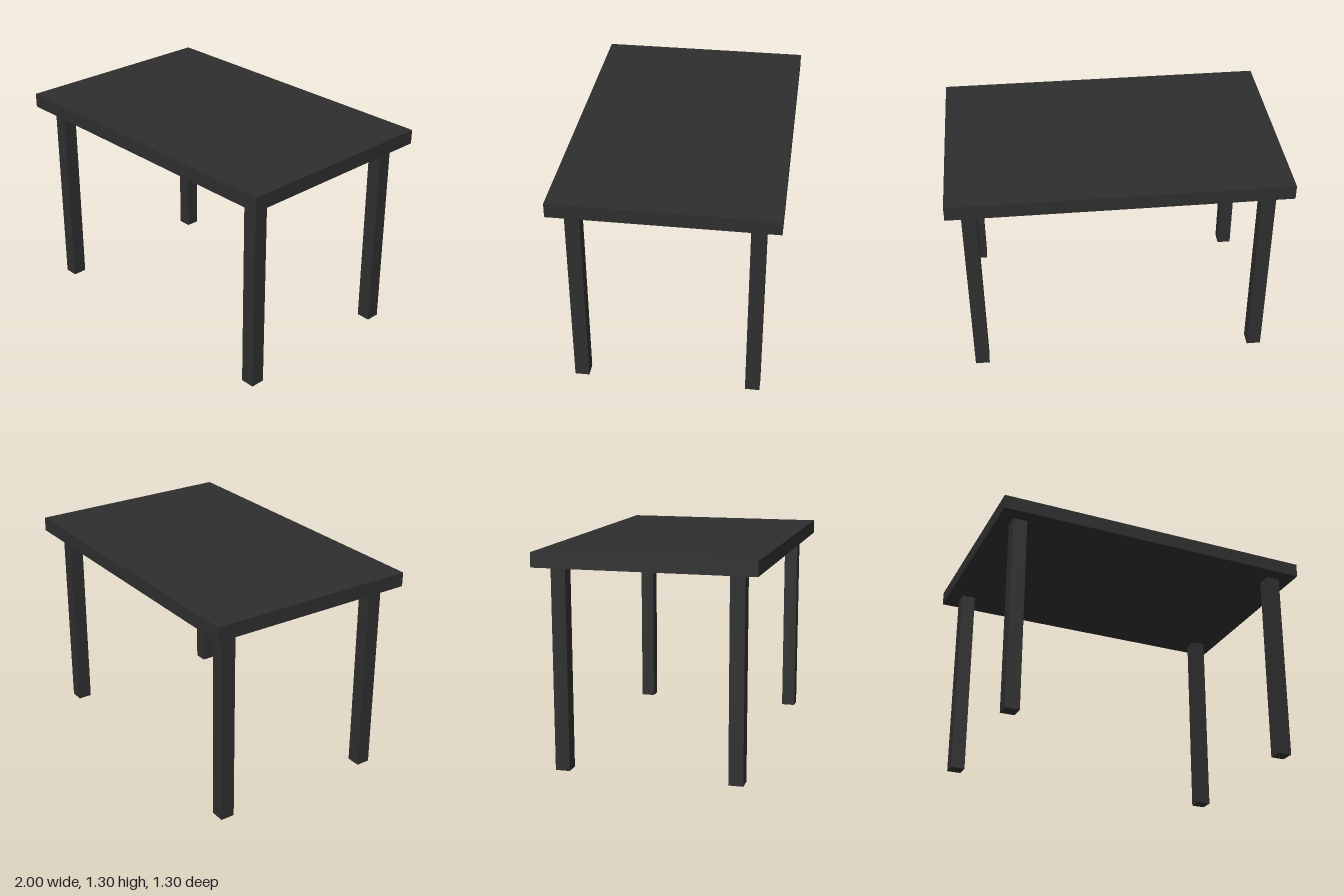
import * as THREE from 'three';

export function createModel() {
  const table = new THREE.Group();
  table.name = 'table';

  const charcoal = new THREE.MeshStandardMaterial({ color: 0x2e2e2e });
  charcoal.name = 'charcoal';

  const thickness = 0.087; // shared by the top and the legs
  const legHeight = 1.217;

  // Table top
  const top = new THREE.Mesh(new THREE.BoxGeometry(2, thickness, 1.304), charcoal);
  top.name = 'tableTop';
  top.position.y = legHeight + thickness / 2;
  table.add(top);

  // Four square legs, inset from the corners
  const legGeometry = new THREE.BoxGeometry(thickness, legHeight, thickness);
  for (const [sideName, sx] of [['Left', 1], ['Right', -1]]) {
    for (const [endName, sz] of [['front', 1], ['back', -1]]) {
      const leg = new THREE.Mesh(legGeometry, charcoal);
      leg.name = `${endName}${sideName}Leg`;
      leg.position.set(sx * 0.87, legHeight / 2, sz * 0.522);
      table.add(leg);
    }
  }

  return table;
}
